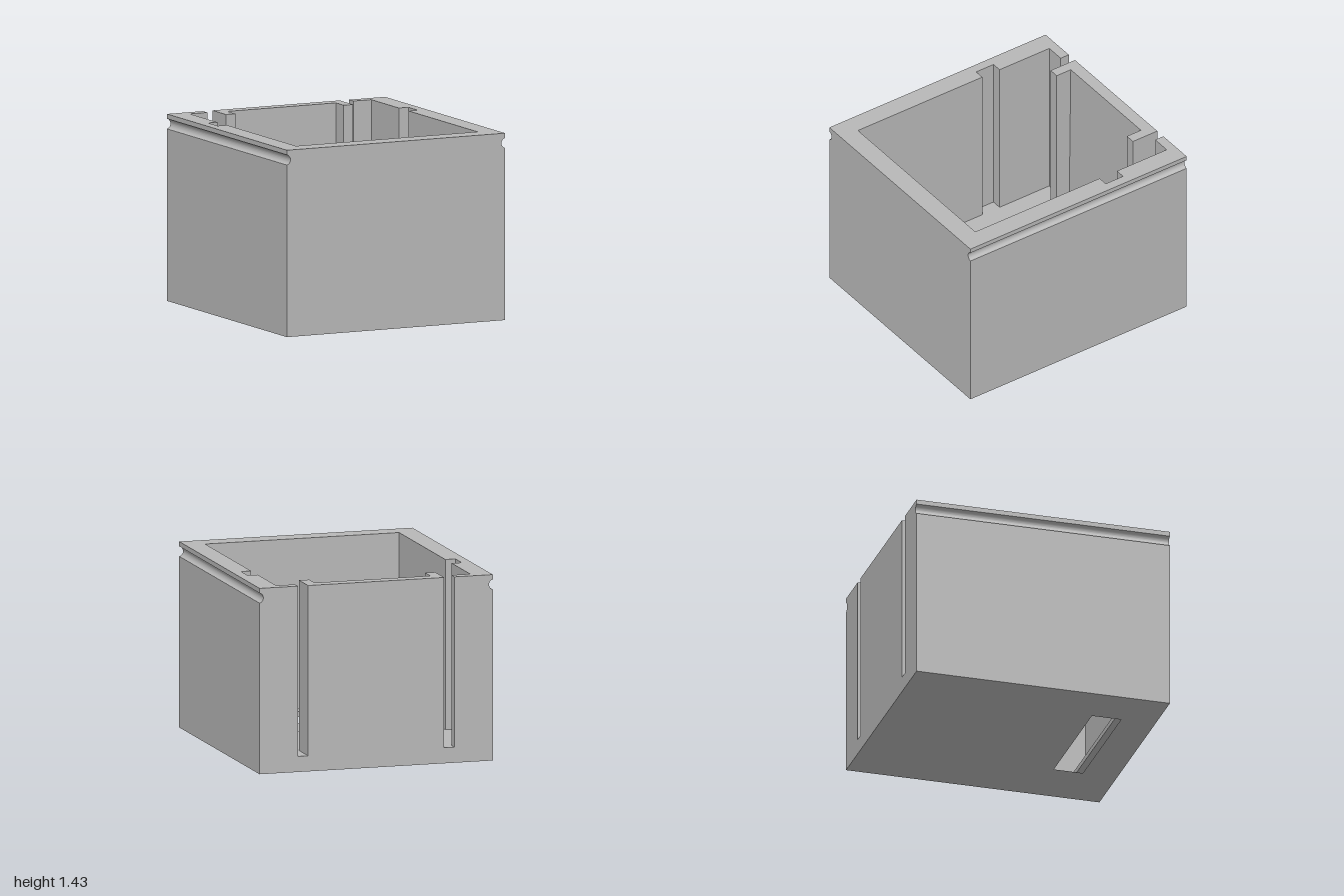
import * as THREE from 'three';
import { toCreasedNormals } from 'three/addons/utils/BufferGeometryUtils.js';

const H = 1.43, FLOOR = 0.12, POCKET = 0.08; // rim, floor and pocket heights
const CORE = 0.87, SIDE = 0.925;             // half widths without and with the grooved side skins

export function createModel() {
  const group = new THREE.Group();
  const grey = new THREE.MeshStandardMaterial({ color: 0xb8b8b8 });
  grey.name = 'plain grey';

  const add = (name, geometry) => {
    const mesh = new THREE.Mesh(geometry, grey);
    mesh.name = name;
    group.add(mesh);
    return mesh;
  };
  // Turns plan points [x, z] into shape points
  const plan = (pts) => pts.map(([x, z]) => new THREE.Vector2(x, -z));
  // Closes a half outline by mirroring it across x = 0
  const mirrored = (pts) => [...pts, ...pts.map(([x, z]) => [-x, z]).reverse()];
  const rect = (x0, x1, z0, z1) => [[x0, z0], [x1, z0], [x1, z1], [x0, z1]];
  // Upright prism over a plan outline
  const prism = (pts, y0, y1, hole) => {
    const shape = new THREE.Shape(plan(pts));
    if (hole) shape.holes.push(new THREE.Path(plan(hole)));
    const g = new THREE.ExtrudeGeometry(shape, { depth: y1 - y0, bevelEnabled: false });
    return g.rotateX(-Math.PI / 2).translate(0, y0, 0);
  };

  // Bottom plate with an off-centre rectangular slot
  add('bottomPlate', prism(rect(-CORE, CORE, -1, 1), 0, POCKET, rect(-0.54, 0.46, 0.5, 0.73)));
  // Raised floor at the back and ledge at the front leave a shallow pocket
  add('raisedFloor', prism(rect(-CORE, CORE, -1, -0.04), POCKET, FLOOR));
  add('frontLedge', prism(rect(-CORE, CORE, 0.73, 1), POCKET, FLOOR));
  for (const s of [-1, 1]) {
    add('pocketSide', prism(rect(Math.min(s * 0.77, s * CORE), Math.max(s * 0.77, s * CORE), -0.04, 0.73), POCKET, FLOOR));
  }

  // Front and side walls with a notch in each side and returns at the back corners
  add('outerWalls', prism(mirrored([
    [CORE, 1], [CORE, -1], [0.62, -1], [0.62, -0.925], [0.77, -0.925], [0.77, -0.465],
    [0.85, -0.465], [0.85, -0.305], [0.77, -0.305], [0.77, 0.845],
  ]), FLOOR, H));

  // Back panel between two open slots, with inward ribs and a slightly drafted inner face
  const back = prism(mirrored([[0.54, -1], [0.54, -0.775], [0.46, -0.775], [0.46, -0.89]]), FLOOR, H);
  const p = back.attributes.position;
  for (let i = 0; i < p.count; i++) {
    if (Math.abs(p.getZ(i) + 0.89) < 0.001 && p.getY(i) > 1) p.setZ(i, -0.905);
  }
  back.computeVertexNormals();
  add('backPanel', back);

  // Side skins with a rounded lid groove running front to back
  const profile = new THREE.Shape();
  const r = 0.04, cx = 0.935, cy = 1.355;
  const a = Math.acos((SIDE - cx) / r);
  profile.moveTo(CORE, 0);
  profile.lineTo(SIDE, 0);
  profile.lineTo(SIDE, cy - r * Math.sin(a));
  profile.absarc(cx, cy, r, -a, a - Math.PI * 2, true);
  profile.lineTo(SIDE, H);
  profile.lineTo(CORE, H);
  const skin = toCreasedNormals(
    new THREE.ExtrudeGeometry(profile, { depth: 2, bevelEnabled: false, curveSegments: 16 }).translate(0, 0, -1), 0.6);
  add('leftGroovedSide', skin);
  add('rightGroovedSide', skin).rotation.y = Math.PI;

  return group;
}
